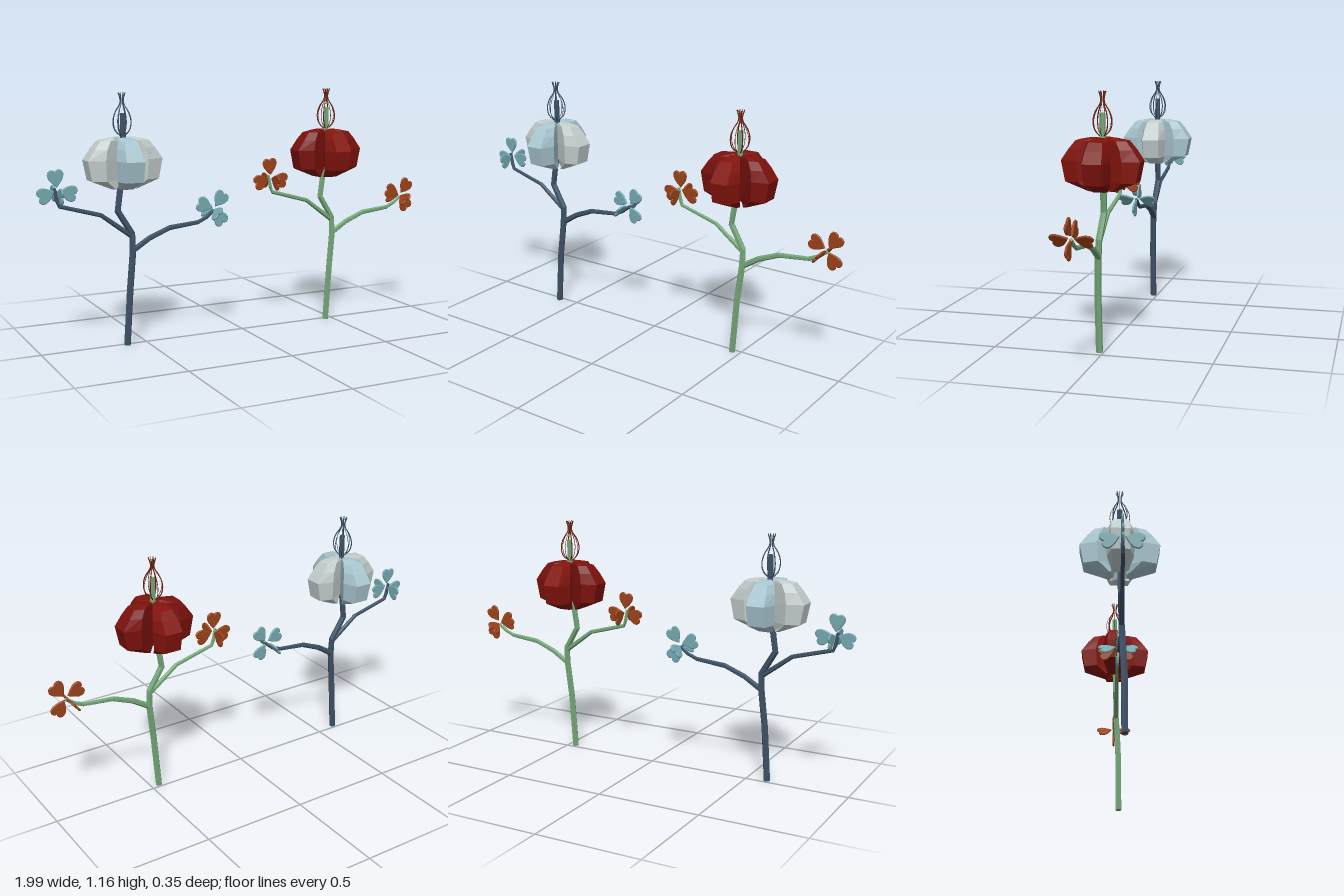
import * as THREE from 'three';

// Closed skin over a list of equal-length rings (counter-clockwise seen from the far end)
function loft(rings) {
  const n = rings[0].length, pos = [], idx = [];
  rings.forEach(r => r.forEach(p => pos.push(...p)));
  for (let k = 0; k < rings.length - 1; k++)
    for (let i = 0; i < n; i++) {
      const j = (i + 1) % n, a = k * n, b = a + n;
      idx.push(a + i, a + j, b + j, a + i, b + j, b + i);
    }
  const last = (rings.length - 1) * n;
  for (let i = 1; i < n - 1; i++) {
    idx.push(0, i + 1, i);
    idx.push(last, last + i, last + i + 1);
  }
  const g = new THREE.BufferGeometry();
  g.setAttribute('position', new THREE.Float32BufferAttribute(pos, 3));
  g.setIndex(idx);
  const flat = g.toNonIndexed();
  flat.computeVertexNormals();
  return flat;
}

// Six-sided tapering limb along points [x, y, z, radius]
function limb(pts) {
  return loft(pts.map(([x, y, z, r], k) => {
    const a = pts[Math.max(k - 1, 0)], b = pts[Math.min(k + 1, pts.length - 1)];
    const t = new THREE.Vector2(b[0] - a[0], b[1] - a[1]).normalize();
    return Array.from({ length: 6 }, (_, i) => {
      const q = (i / 6) * Math.PI * 2, c = Math.cos(q) * r;
      return [x - t.y * c, y + t.x * c, z + Math.sin(q) * r];
    });
  }));
}

// Plump faceted petal pointing along +z: [y, inner r, middle r, outer r, middle half width, outer half width]
function petalGeometry() {
  const levels = [
    [0.727, 0.03, 0.045, 0.06, 0.036, 0.025],
    [0.768, 0.012, 0.095, 0.158, 0.058, 0.04],
    [0.86, 0.008, 0.1, 0.176, 0.064, 0.042],
    [0.91, 0.008, 0.09, 0.142, 0.057, 0.038],
    [0.946, 0.01, 0.07, 0.113, 0.045, 0.03],
    [0.957, 0.02, 0.04, 0.06, 0.025, 0.016],
  ];
  return loft(levels.map(([y, ri, rm, ro, w, t]) => [
    [t, y, ro], [w, y, rm], [0.012, y, ri], [-0.012, y, ri], [-w, y, rm], [-t, y, ro],
  ]));
}

// Heart-shaped leaf, tip at the origin, growing along +x
function heartGeometry() {
  const s = new THREE.Shape();
  s.moveTo(0, 0);
  s.bezierCurveTo(0.015, 0.012, 0.032, 0.034, 0.054, 0.034);
  s.bezierCurveTo(0.076, 0.034, 0.08, 0.006, 0.06, 0);
  s.bezierCurveTo(0.08, -0.006, 0.076, -0.034, 0.054, -0.034);
  s.bezierCurveTo(0.032, -0.034, 0.015, -0.012, 0, 0);
  const g = new THREE.ExtrudeGeometry(s, {
    depth: 0.004, curveSegments: 5,
    bevelEnabled: true, bevelThickness: 0.003, bevelSize: 0.003, bevelSegments: 1,
  });
  return g.translate(0.016, 0, -0.002);
}

function filamentGeometry(radius) {
  const path = [[0.012, 0.965], [0.036, 0.99], [0.044, 1.03], [0.033, 1.07], [0.011, 1.105], [0.008, 1.125], [0.017, 1.157]];
  const curve = new THREE.CatmullRomCurve3(path.map(([r, y]) => new THREE.Vector3(r, y, 0)));
  return new THREE.TubeGeometry(curve, 18, radius, 5);
}

function createFlower(colors) {
  const flower = new THREE.Group();
  const mat = c => new THREE.MeshStandardMaterial({ color: c, flatShading: true });
  const m = Object.fromEntries(Object.entries(colors).map(([k, c]) => [k, mat(c)]));
  const add = (name, geo, material, parent = flower) => {
    const mesh = new THREE.Mesh(geo, material);
    mesh.name = name;
    parent.add(mesh);
    return mesh;
  };

  // Main stem and two side branches
  add('stem', limb([
    [0, 0, 0.019, 0.016], [0.018, 0.26, 0.019, 0.016], [0.036, 0.43, 0.013, 0.016],
    [0.036, 0.515, 0.008, 0.015], [-0.03, 0.625, 0.004, 0.015], [-0.014, 0.735, 0.002, 0.015],
    [0.003, 0.8, 0, 0.015], [0.003, 1.065, 0, 0.013],
  ]), m.stem);
  add('leftBranch', limb([
    [0.04, 0.44, 0.01, 0.014], [0.12, 0.49, 0.009, 0.013], [0.22, 0.53, 0.008, 0.012],
    [0.365, 0.545, 0.006, 0.01], [0.41, 0.565, 0.004, 0.009], [0.45, 0.596, 0.003, 0.008],
  ]), m.stem);
  add('rightBranch', limb([
    [0.035, 0.505, 0.008, 0.012], [-0.04, 0.56, 0.008, 0.011], [-0.11, 0.612, 0.008, 0.01],
    [-0.3, 0.664, 0.005, 0.009], [-0.31, 0.69, 0.004, 0.009], [-0.32, 0.745, 0.003, 0.007],
  ]), m.stem);

  // Four petals
  const petal = petalGeometry();
  for (let i = 0; i < 4; i++)
    add('petal', petal, i % 2 ? m.sidePetal : m.frontPetal).rotation.y = i * Math.PI / 2;

  // Cage of fine filaments around the stem tip
  const thick = filamentGeometry(0.0028), thin = filamentGeometry(0.0015);
  for (let i = 0; i < 8; i++)
    add('filament', i % 2 ? thick : thin, m.filament).rotation.y = i * Math.PI / 4;

  // Leaf clusters: drooping leaves on four sides and one at the tip
  const heart = heartGeometry(), droop = 0.31;
  for (const [name, x, y, turn] of [['rightLeaves', -0.308, 0.736, 0.04], ['leftLeaves', 0.45, 0.604, -0.68]]) {
    const cluster = new THREE.Group();
    cluster.name = name;
    cluster.position.set(x, y, 0.003);
    cluster.rotation.z = turn;
    for (let i = 0; i < 4; i++)
      add('leaf', heart, m.leaf, cluster).rotation.set(0, i * Math.PI / 2, -droop);
    add('tipLeaf', heart, m.leaf, cluster).rotation.z = 1.62;
    flower.add(cluster);
  }
  return flower;
}

export function createModel() {
  const model = new THREE.Group();
  model.name = 'flowers';
  const pale = createFlower({
    stem: 0x3d5266, frontPetal: 0xa9c6d0, sidePetal: 0xc3cecd, leaf: 0x74a8b0, filament: 0x3d5266,
  });
  pale.name = 'paleFlower';
  pale.position.x = -0.6;
  const red = createFlower({
    stem: 0x74a678, frontPetal: 0x84140d, sidePetal: 0x7c110c, leaf: 0x9c4219, filament: 0x6a2412,
  });
  red.name = 'redFlower';
  red.position.x = 0.46;
  model.add(pale, red);
  return model;
}
